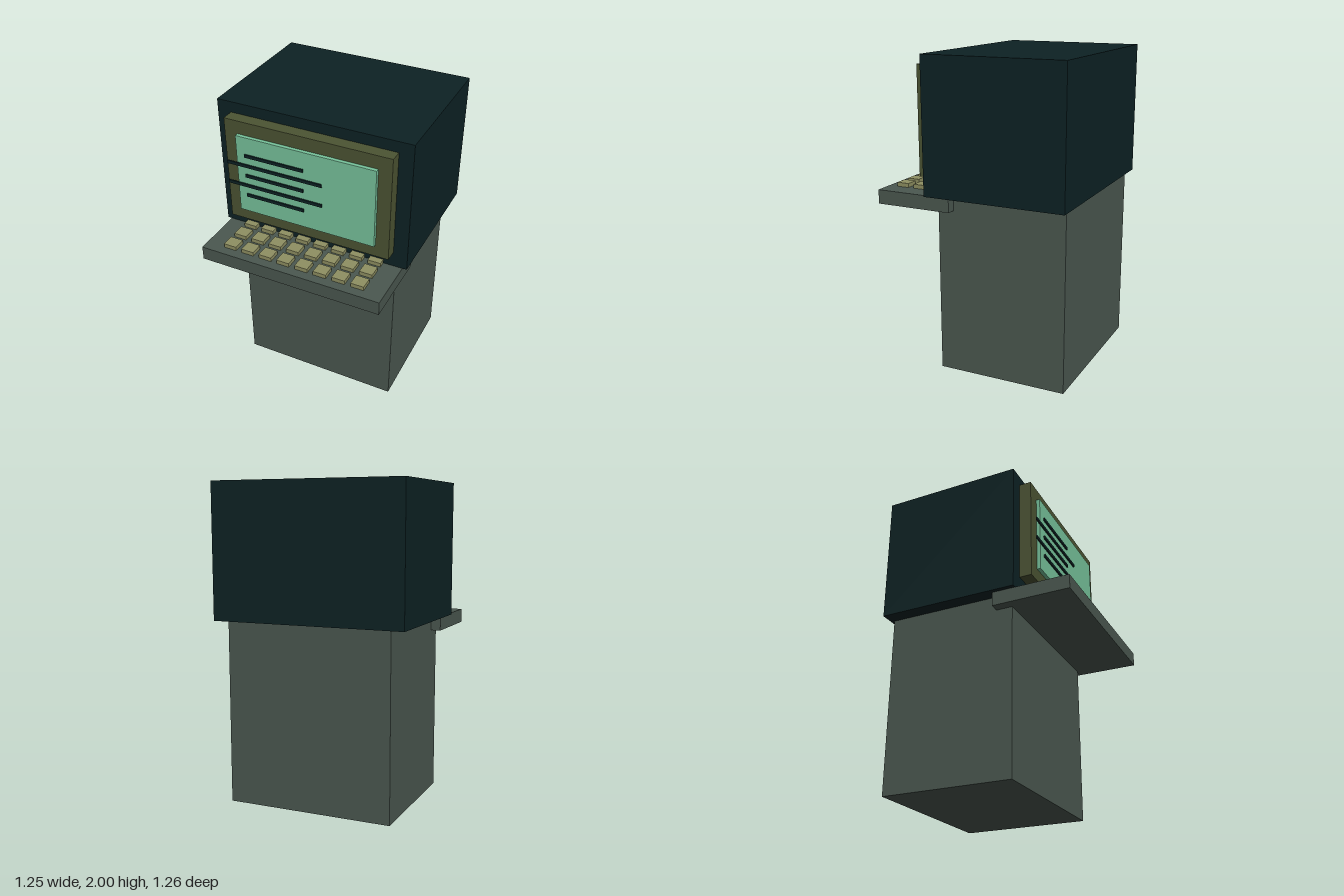
import * as THREE from 'three';

const material = (name, color) => {
  const m = new THREE.MeshStandardMaterial({ color });
  m.name = name;
  return m;
};

export function createModel() {
  const model = new THREE.Group();
  model.name = 'computerTerminal';

  const darkCasing = material('dark teal casing', 0x0d2224);
  const greyBody = material('grey green body', 0x4b5850);
  const olive = material('olive bezel', 0x4c5433);
  const mint = material('mint screen', 0x78c49c);
  const khaki = material('khaki keys', 0x8f9062);

  // Box given by its extents along each axis
  const box = (name, mat, [x0, x1], [y0, y1], [z0, z1], parent = model) => {
    const mesh = new THREE.Mesh(new THREE.BoxGeometry(x1 - x0, y1 - y0, z1 - z0), mat);
    mesh.position.set((x0 + x1) / 2, (y0 + y1) / 2, (z0 + z1) / 2);
    mesh.name = name;
    parent.add(mesh);
    return mesh;
  };

  // Pedestal, keyboard shelf and monitor
  box('pedestal', greyBody, [-0.535, 0.531], [0, 1.15], [-0.605, 0.235]);
  box('keyboardShelf', greyBody, [-0.597, 0.593], [1.06, 1.15], [0.13, 0.63]);
  box('monitorCasing', darkCasing, [-0.624, 0.621], [1.15, 2], [-0.63, 0.284]);
  box('screenBezel', olive, [-0.535, 0.531], [1.25, 1.932], [0.28, 0.363]);
  box('screen', mint, [-0.45, 0.447], [1.333, 1.848], [0.36, 0.387]);

  // Bars on the screen, alternately short and long
  const bars = new THREE.Group();
  bars.name = 'screenBars';
  model.add(bars);
  for (let i = 0; i < 5; i++) {
    const y = 1.728 - i * 0.0685;
    const span = i % 2 ? [-0.515, 0.112] : [-0.394, -0.008];
    box('screenBar', darkCasing, span, [y - 0.01, y + 0.01], [0.387, 0.396], bars);
  }

  // Three rows of eight keys
  const keys = new THREE.Group();
  keys.name = 'keys';
  model.add(keys);
  for (let row = 0; row < 3; row++) {
    for (let col = 0; col < 8; col++) {
      const x = -0.431 + col * 0.1226;
      const z = 0.53 - row * 0.121;
      box('key', khaki, [x - 0.042, x + 0.042], [1.15, 1.176], [z - 0.041, z + 0.041], keys);
    }
  }

  return model;
}
